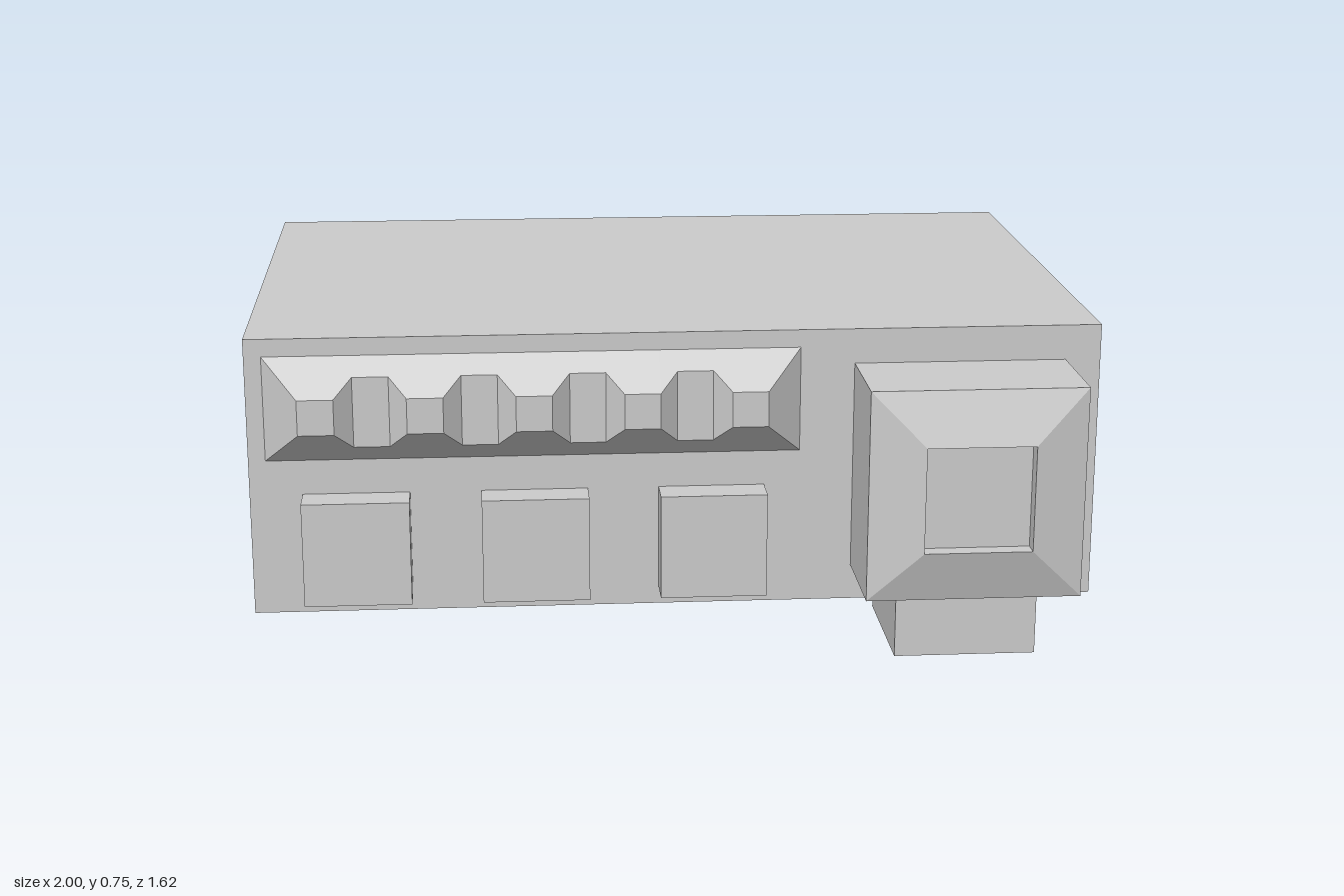
import * as THREE from 'three';

const FRONT = 0.52; // z of the body's front face

export function createModel() {
  const group = new THREE.Group();
  const material = new THREE.MeshStandardMaterial({ color: 0xcccccc, flatShading: true });

  const add = (name, geometry, x = 0, y = 0, z = 0) => {
    const mesh = new THREE.Mesh(geometry, material);
    mesh.name = name;
    mesh.position.set(x, y, z);
    group.add(mesh);
  };
  // Box given by its lower and upper limits
  const addBox = (name, [x0, x1], [y0, y1], [z0, z1]) =>
    add(name, new THREE.BoxGeometry(x1 - x0, y1 - y0, z1 - z0),
      (x0 + x1) / 2, (y0 + y1) / 2, (z0 + z1) / 2);

  // Main casing
  addBox('body', [-1, 1], [0.085, 0.752], [-0.813, FRONT]);

  // Three square buttons along the lower front
  for (let i = 0; i < 3; i++) {
    const x = -0.877 + i * 0.4167;
    addBox('button', [x, x + 0.25], [0.127, 0.377], [FRONT - 0.02, 0.602]);
  }

  // Foot under the nozzle
  addBox('foot', [0.5, 0.833], [0, 0.18], [0.355, 0.69]);

  // Square nozzle with a bevelled rim and a shallow recess
  const profile = [[0.25, 0], [0.25, 0.25], [0.125, 0.29], [0.125, 0.25], [0, 0.25]]
    .map(([half, depth]) => new THREE.Vector2(half * Math.SQRT2, depth));
  const nozzle = new THREE.LatheGeometry(profile, 4).toNonIndexed();
  nozzle.rotateY(Math.PI / 4).rotateX(Math.PI / 2);
  add('nozzle', nozzle, 0.667, 0.419, FRONT);

  add('grille', grilleGeometry(), 0, 0, FRONT);
  return group;
}

// Chamfered bar with four notches: a trapezoid section whose height varies along x
function grilleGeometry() {
  const x0 = -0.96, y0 = 0.46, y1 = 0.71, high = 0.083, low = 0.0415, pitch = 0.25;
  const stations = [[x0, 0]];
  for (let i = 0; i < 5; i++) {
    const x = x0 + high + i * pitch;
    stations.push([x, high], [x + 0.0835, high]);
    if (i < 4) stations.push([x + 0.125, low], [x + 0.2085, low]);
  }
  stations.push([x0 + 1.25, 0]);

  const rings = stations.map(([x, h]) => [
    [x, y0, 0], [x, y0 + h, h], [x, y1 - h, h], [x, y1, 0],
  ]);
  const positions = [];
  for (let i = 0; i + 1 < rings.length; i++) {
    for (let j = 0; j < 3; j++) {
      const a = rings[i][j], b = rings[i + 1][j], c = rings[i + 1][j + 1], d = rings[i][j + 1];
      positions.push(...a, ...b, ...c, ...a, ...c, ...d);
    }
  }
  const geometry = new THREE.BufferGeometry();
  geometry.setAttribute('position', new THREE.Float32BufferAttribute(positions, 3));
  geometry.computeVertexNormals();
  return geometry;
}
